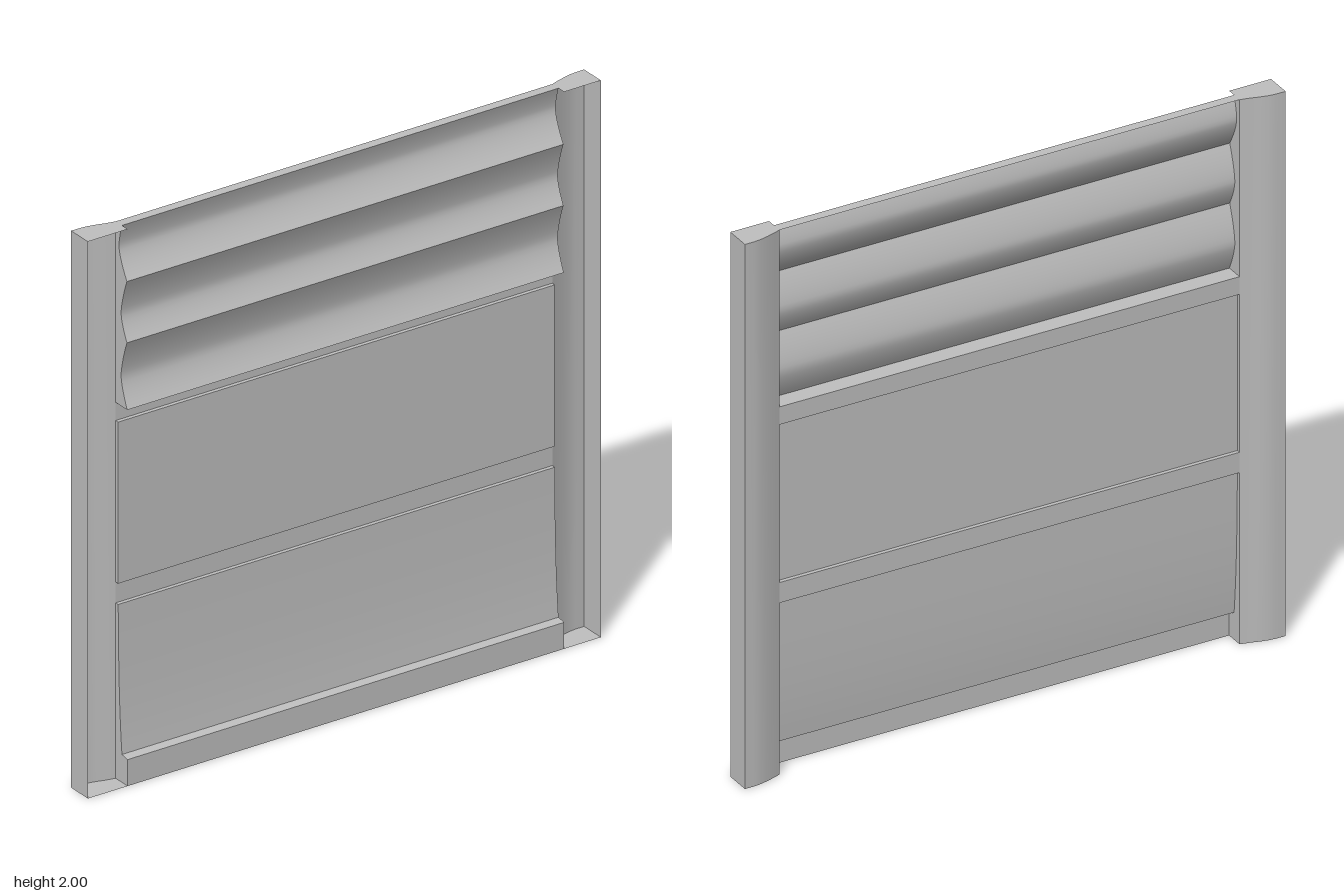
import * as THREE from 'three';

const FRONT = 0.047, SHEET = -0.02, LEFT = 0.857, RIGHT = -0.845;

const metal = new THREE.MeshStandardMaterial({ color: 0xc0c0c0, side: THREE.DoubleSide });
metal.name = 'light grey';

function add(parent, name, geometry) {
  const mesh = new THREE.Mesh(geometry, metal);
  mesh.name = name;
  parent.add(mesh);
  return mesh;
}

// Smooth sheet swept between two ends; at(point, end) gives each vertex
function sweep(points, at) {
  const g = new THREE.PlaneGeometry(1, 1, 1, points.length - 1);
  const pos = g.attributes.position;
  points.forEach((p, i) => {
    for (let end = 0; end < 2; end++) pos.setXYZ(i * 2 + end, ...at(p, end));
  });
  g.computeVertexNormals();
  return g;
}

// Pressed form: [y, z] pieces from top to bottom, swept across, with end walls
function pressing(parent, name, pieces) {
  const group = new THREE.Group();
  group.name = name;
  parent.add(group);
  for (const piece of pieces) {
    add(group, name + 'Face', sweep(piece, ([y, z], end) => [end ? LEFT : RIGHT, y, z]));
  }
  const outline = pieces.flat();
  const shape = new THREE.Shape();
  shape.moveTo(SHEET, outline[0][0]);
  outline.forEach(([y, z]) => shape.lineTo(z, y));
  shape.lineTo(SHEET, outline[outline.length - 1][0]);
  for (const x of [RIGHT, LEFT]) {
    const wall = new THREE.ShapeGeometry(shape);
    wall.rotateY(-Math.PI / 2);
    wall.translate(x, 0, 0);
    add(group, name + 'End', wall);
  }
}

// Rounded valley between two sharp ridges
function scallop(y0, z0, y1, z1, valley, depth) {
  const pts = [];
  const n = 14;
  for (let i = 0; i <= n; i++) {
    const t = i / n;
    const down = t < valley;
    const s = down ? 1 - t / valley : (t - valley) / (1 - valley);
    const z = depth + ((down ? z0 : z1) - depth) * Math.pow(s, 1.5);
    pts.push([y0 + (y1 - y0) * t, z]);
  }
  return pts;
}

export function createModel() {
  const model = new THREE.Group();
  model.name = 'corrugatedPanel';

  // Side posts: channels open at the front with a curved back
  for (const side of [1, -1]) {
    const post = new THREE.Group();
    post.name = side > 0 ? 'leftPost' : 'rightPost';
    model.add(post);
    const inner = side > 0 ? LEFT : RIGHT;
    const back = [[side, -FRONT], [side * 0.965, -0.0465], [side * 0.94, -0.044],
      [side * 0.91, -0.037], [side * 0.88, -0.028], [inner, SHEET]];
    add(post, 'postBack', sweep(back, ([x, z], end) => [x, end * 2, z]));
    add(post, 'postOuterSide',
      sweep([[side, FRONT], [side, -FRONT]], ([x, z], end) => [x, end * 2, z]));
    const cap = new THREE.Shape([[inner, FRONT], [side, FRONT], ...back]
      .map(([x, z]) => new THREE.Vector2(x, z)));
    for (const y of [0, 2]) {
      const g = new THREE.ShapeGeometry(cap);
      g.rotateX(Math.PI / 2);
      g.translate(0, y, 0);
      add(post, 'postCap', g);
    }
  }

  // Flat rails between the panels
  for (const [y0, y1] of [[0.63, 0.705], [1.285, 1.35]]) {
    add(model, 'rail',
      sweep([[y1, SHEET], [y0, SHEET]], ([y, z], end) => [end ? LEFT : RIGHT, y, z]));
  }

  // Corrugated top panel
  pressing(model, 'corrugation', [
    [[2, SHEET], [2, 0.015]],
    scallop(2, 0.015, 1.81, 0.043, 0.42, -0.002),
    scallop(1.81, 0.043, 1.59, 0.043, 0.58, 0.01),
    scallop(1.59, 0.043, 1.35, 0.045, 0.55, 0.01),
    [[1.35, 0.045], [1.35, SHEET]],
  ]);

  // Flat middle panel, slightly raised
  pressing(model, 'middlePanel', [
    [[1.285, SHEET], [1.285, -0.006]],
    [[1.285, -0.006], [0.705, -0.006]],
    [[0.705, -0.006], [0.705, SHEET]],
  ]);

  // Lower panel sweeping out to the bottom bar, open underneath
  const lower = [];
  for (let i = 0; i <= 12; i++) {
    const t = i / 12;
    lower.push([0.63 - 0.53 * t, -0.006 + 0.006 * t + 0.015 * t ** 3]);
  }
  pressing(model, 'lowerPanel', [
    [[0.63, SHEET], [0.63, -0.006]],
    lower,
    [[0.1, 0.015], [0.095, FRONT]],
    [[0.095, FRONT], [0, FRONT]],
  ]);

  return model;
}
